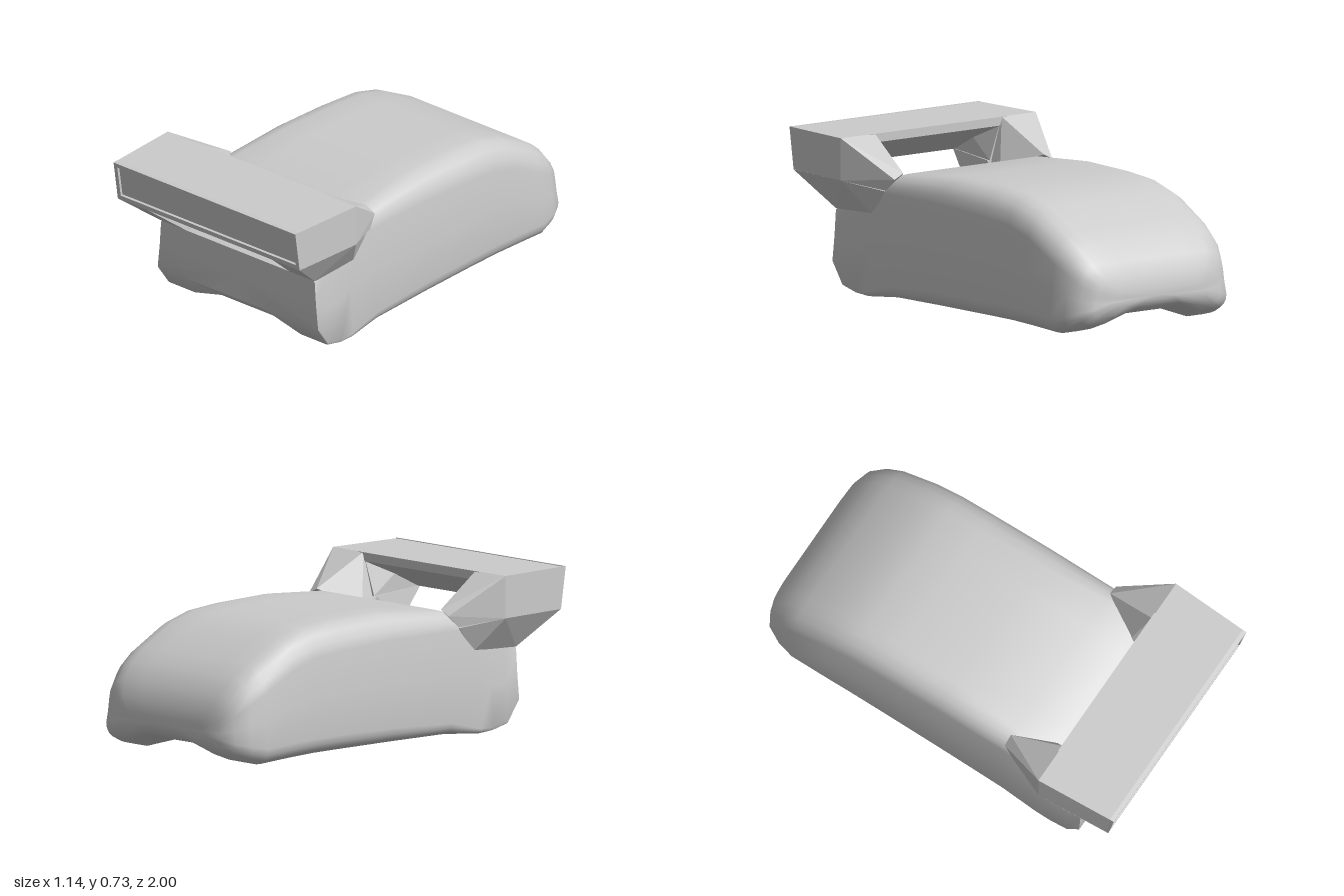
import * as THREE from 'three';
import { toCreasedNormals } from 'three/addons/utils/BufferGeometryUtils.js';
import { ConvexGeometry } from 'three/addons/geometries/ConvexGeometry.js';

const grey = new THREE.MeshStandardMaterial({ color: 0xcccccc, side: THREE.DoubleSide });

function part(name, geometry) {
  const mesh = new THREE.Mesh(geometry, grey);
  mesh.name = name;
  return mesh;
}

// Convex solid through its corners; side = -1 mirrors it across x
function hull(name, corners, side = 1) {
  return part(name, new ConvexGeometry(corners.map(([x, y, z]) => new THREE.Vector3(x * side, y, z))));
}

// Closed cross-section: channelled underside, rounded corners, sides leaning in
function section([z, yb, yt, w, r, channel]) {
  const low = r * 0.6, top = w - 0.02;
  const half = [[0, yb + channel], [w * 0.33, yb + channel], [w * 0.66, yb]];
  for (let i = 0; i <= 4; i++) {
    const a = (i / 4) * Math.PI / 2;
    half.push([w - low + low * Math.sin(a), yb + low - low * Math.cos(a)]);
  }
  half.push([w - 0.012, (yb + low + yt - r) / 2]);
  for (let i = 0; i <= 4; i++) {
    const a = (i / 4) * Math.PI / 2;
    half.push([top - r + r * Math.cos(a), yt - r + r * Math.sin(a)]);
  }
  half.push([w * 0.45, yt], [0, yt]);
  const mirrored = half.slice(1, -1).reverse().map(([x, y]) => [-x, y]);
  return [...half, ...mirrored].map(([x, y]) => [x, y, z]);
}

// Skin over the sections from front to back, closed at both ends
function loft(stations) {
  const rings = stations.map(section);
  const n = rings[0].length;
  const points = rings.flat(2);
  const index = [];
  for (let i = 0; i < rings.length - 1; i++) {
    for (let j = 0; j < n; j++) {
      const k = (j + 1) % n;
      const a = i * n + j, b = a + n, c = (i + 1) * n + k, d = i * n + k;
      index.push(a, b, c, a, c, d);
    }
  }
  const ends = [stations[0], stations[stations.length - 1]];
  ends.forEach(([z, yb, yt], e) => {
    const centre = points.length / 3;
    const start = e ? (rings.length - 1) * n : 0;
    points.push(0, (yb + yt) / 2, z);
    for (let j = 0; j < n; j++) {
      const a = start + j, b = start + (j + 1) % n;
      index.push(centre, e ? b : a, e ? a : b);
    }
  });
  const geometry = new THREE.BufferGeometry();
  geometry.setAttribute('position', new THREE.Float32BufferAttribute(points, 3));
  geometry.setIndex(index);
  return toCreasedNormals(geometry, 0.8);
}

export function createModel() {
  const model = new THREE.Group();
  model.name = 'model';

  // Body: z, bottom, top, half width, corner radius, channel depth
  model.add(part('body', loft([
    [0.77, 0.13, 0.375, 0.485, 0.01, 0],
    [0.70, 0.03, 0.40, 0.485, 0.015, 0.04],
    [0.61, 0.008, 0.43, 0.485, 0.02, 0.05],
    [0.53, 0, 0.525, 0.485, 0.04, 0.057],
    [0.35, 0.015, 0.58, 0.485, 0.09, 0.045],
    [0, 0.015, 0.61, 0.485, 0.12, 0.045],
    [-0.3, 0.015, 0.605, 0.485, 0.13, 0.045],
    [-0.48, 0.015, 0.59, 0.485, 0.13, 0.045],
    [-0.62, 0.01, 0.55, 0.485, 0.13, 0.05],
    [-0.8, 0, 0.455, 0.482, 0.13, 0.057],
    [-0.88, 0.02, 0.4, 0.465, 0.12, 0.05],
    [-0.95, 0.05, 0.325, 0.43, 0.1, 0.04],
    [-0.985, 0.085, 0.25, 0.37, 0.07, 0.025],
    [-1, 0.13, 0.19, 0.28, 0.03, 0.01],
  ])));

  // Middle of the front bar: a wedge that thins towards the back
  const wedge = [];
  for (const x of [-0.4, 0.4]) {
    wedge.push([x, 0.73, 0.985], [x, 0.535, 0.955], [x, 0.69, 0.6], [x, 0.73, 0.6]);
  }
  model.add(hull('frontBar', wedge));

  // Bar ends, arms running back and supports running down, on both sides
  for (const side of [1, -1]) {
    const label = side > 0 ? 'left' : 'right';
    model.add(hull(label + 'BarEnd', [
      [0.57, 0.73, 0.605], [0.57, 0.535, 0.605], [0.37, 0.73, 0.605], [0.3, 0.535, 0.605],
      [0.55, 0.73, 0.985], [0.55, 0.535, 0.955], [0.38, 0.73, 0.985], [0.38, 0.535, 0.955],
    ], side));
    model.add(hull(label + 'Arm', [
      [0.57, 0.73, 0.605], [0.57, 0.535, 0.605], [0.37, 0.73, 0.605], [0.3, 0.5, 0.605],
      [0.41, 0.585, 0.35], [0.46, 0.56, 0.35], [0.475, 0.505, 0.4], [0.3, 0.5, 0.53],
    ], side));
    model.add(hull(label + 'Support', [
      [0.57, 0.535, 0.605], [0.55, 0.535, 0.97], [0.38, 0.535, 0.97], [0.295, 0.535, 0.62],
      [0.31, 0.375, 0.77], [0.465, 0.375, 0.77], [0.46, 0.375, 0.5], [0.31, 0.375, 0.5],
      [0.47, 0.5, 0.41],
    ], side));
  }

  // Raised rim around the recessed front panel
  const rectangle = (Type, x, y0, y1) => new Type([
    new THREE.Vector2(-x, y0), new THREE.Vector2(x, y0), new THREE.Vector2(x, y1), new THREE.Vector2(-x, y1),
  ]);
  const rimShape = rectangle(THREE.Shape, 0.55, 0, 0.197);
  rimShape.holes.push(rectangle(THREE.Path, 0.53, 0.023, 0.177));
  const rim = part('frontRim', new THREE.ExtrudeGeometry(rimShape, { depth: 0.02, bevelEnabled: false }));
  rim.position.set(0, 0.538, 0.951);
  rim.rotation.x = 0.153;
  model.add(rim);

  const panel = part('frontPanel', new THREE.BoxGeometry(1.09, 0.185, 0.01));
  panel.position.set(0, 0.632, 0.968);
  panel.rotation.x = 0.153;
  model.add(panel);

  return model;
}
